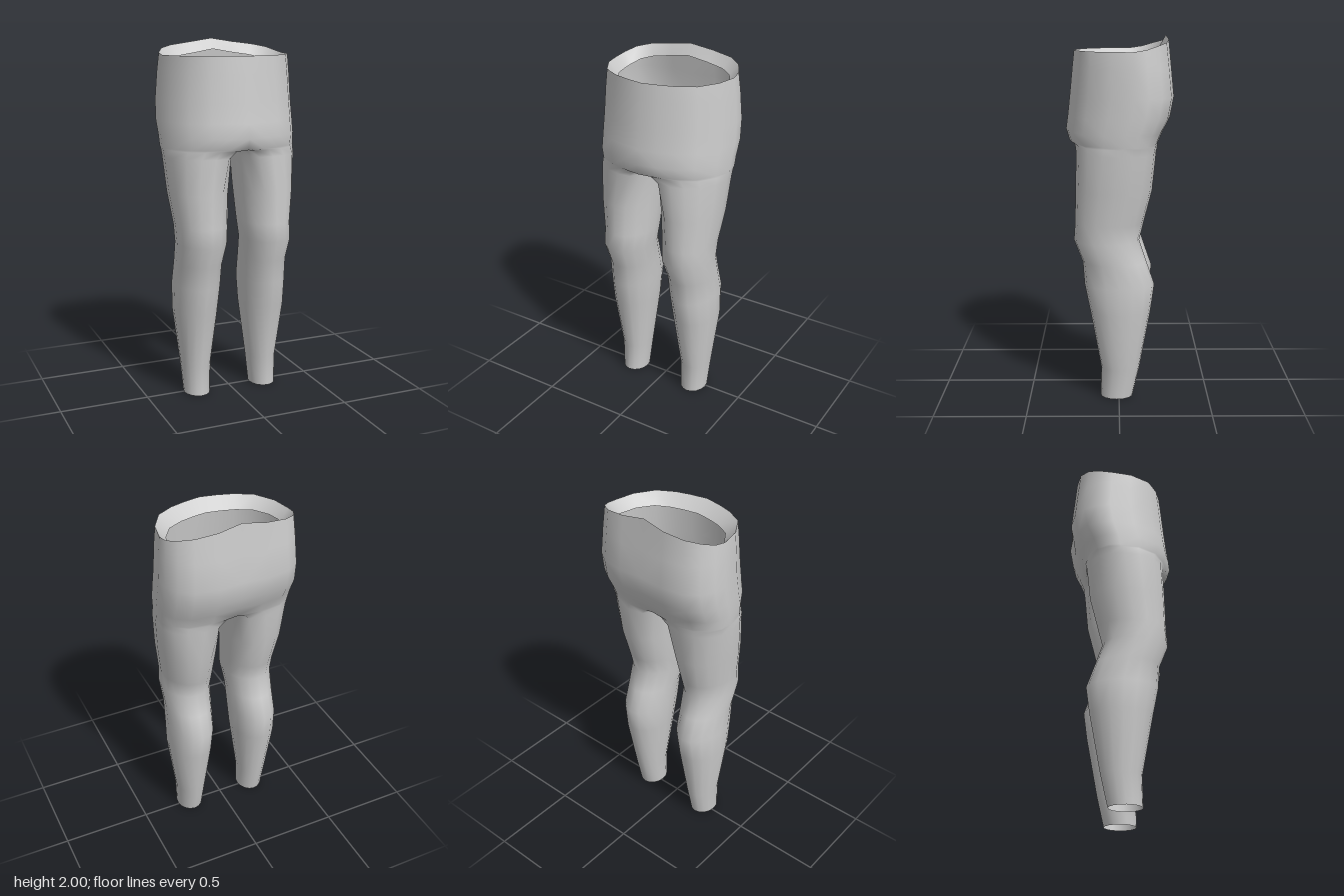
import * as THREE from 'three';
import { mergeVertices } from 'three/addons/utils/BufferGeometryUtils.js';

const ARC = 11; // points from front centre round the outside to back centre
const SIDES = 16; // points round a whole leg

// Half outline of the hips as fractions: u across the width, v from back to front
const HIP = [[0, 1], [0.26, 0.93], [0.5, 0.83], [0.76, 0.62], [0.94, 0.2], [1, -0.24],
  [0.98, -0.5], [0.88, -0.75], [0.69, -0.93], [0.36, -1], [0, -0.96]];
for (let i = ARC; i < SIDES; i++) HIP.push([0, -0.96 + 1.96 * (i - ARC + 1) / 6]);

// How far the waist edge rises towards the back
const RISE = [0, 0, 0, 0, 0, 0, 0.01, 0.03, 0.045, 0.06, 0.08];

// Sections: height, inner x, outer x, front z, back z, roundness (0 hip, 1 ellipse)
const TORSO = [
  [1.92, 0, 0.36, 0.245, -0.265, 0],
  [1.83, 0, 0.37, 0.255, -0.28, 0],
  [1.68, 0, 0.38, 0.27, -0.295, 0],
  [1.57, 0, 0.385, 0.282, -0.275, 0],
  [1.49, 0, 0.382, 0.293, -0.235, 0],
  [1.43, 0, 0.38, 0.275, -0.21, 0],
];
const LEG = [
  TORSO[5],
  [1.42, 0.02, 0.378, 0.25, -0.208, 0.3],
  [1.38, 0.025, 0.376, 0.238, -0.2, 0.6],
  [1.18, 0.035, 0.36, 0.238, -0.18, 0.9],
  [1.0, 0.045, 0.335, 0.24, -0.135, 1],
  [0.9, 0.053, 0.333, 0.247, -0.11, 1],
  [0.78, 0.065, 0.326, 0.2, -0.15, 1],
  [0.65, 0.07, 0.328, 0.19, -0.195, 1],
  [0.5, 0.08, 0.33, 0.16, -0.175, 1],
  [0.17, 0.12, 0.29, 0.1, -0.115, 1],
  [0, 0.13, 0.28, 0.103, -0.077, 1],
];

function ring([y, xin, xout, front, back, round]) {
  return HIP.map(([hu, hv], i) => {
    const a = THREE.MathUtils.degToRad(112.5 - 22.5 * i);
    const u = THREE.MathUtils.lerp(hu, (1 + Math.cos(a)) / 2, round);
    const v = THREE.MathUtils.lerp(hv, Math.sin(a), round);
    return [xin + (xout - xin) * u, y, (front + back) / 2 + v * (front - back) / 2];
  });
}

// Adds the skin between successive rings, on both sides of the body
function loft(out, rings, spans) {
  for (let r = 0; r < rings.length - 1; r++) {
    for (let i = 0; i < spans; i++) {
      const j = (i + 1) % SIDES;
      const a = rings[r][i], b = rings[r + 1][i], c = rings[r + 1][j], d = rings[r][j];
      for (const tri of [[a, b, c], [a, c, d]]) {
        tri.forEach((p) => out.push(...p));
        [...tri].reverse().forEach(([x, y, z]) => out.push(-x, y, z));
      }
    }
  }
}

function skin(name, positions, material) {
  let geometry = new THREE.BufferGeometry();
  geometry.setAttribute('position', new THREE.Float32BufferAttribute(positions, 3));
  geometry = mergeVertices(geometry, 1e-4);
  geometry.computeVertexNormals();
  const mesh = new THREE.Mesh(geometry, material);
  mesh.name = name;
  return mesh;
}

export function createModel() {
  const group = new THREE.Group();
  group.name = 'trousers';
  const material = new THREE.MeshStandardMaterial({ color: 0xcccccc, side: THREE.DoubleSide });

  const raise = (points) => points.map(([x, y, z], i) => [x, y + (RISE[i] || 0), z]);
  const torso = TORSO.map(ring);
  torso[0] = raise(torso[0]);

  // Hips and both legs as one smooth cloth surface
  const cloth = [];
  loft(cloth, torso, ARC - 1);
  loft(cloth, LEG.map(ring), SIDES);
  group.add(skin('hipsAndLegs', cloth, material));

  // Waist hem folded inwards and down
  const hem = [];
  loft(hem, [raise(ring([1.86, 0, 0.312, 0.17, -0.23, 0])), torso[0]], ARC - 1);
  group.add(skin('waistHem', hem, material));

  return group;
}
